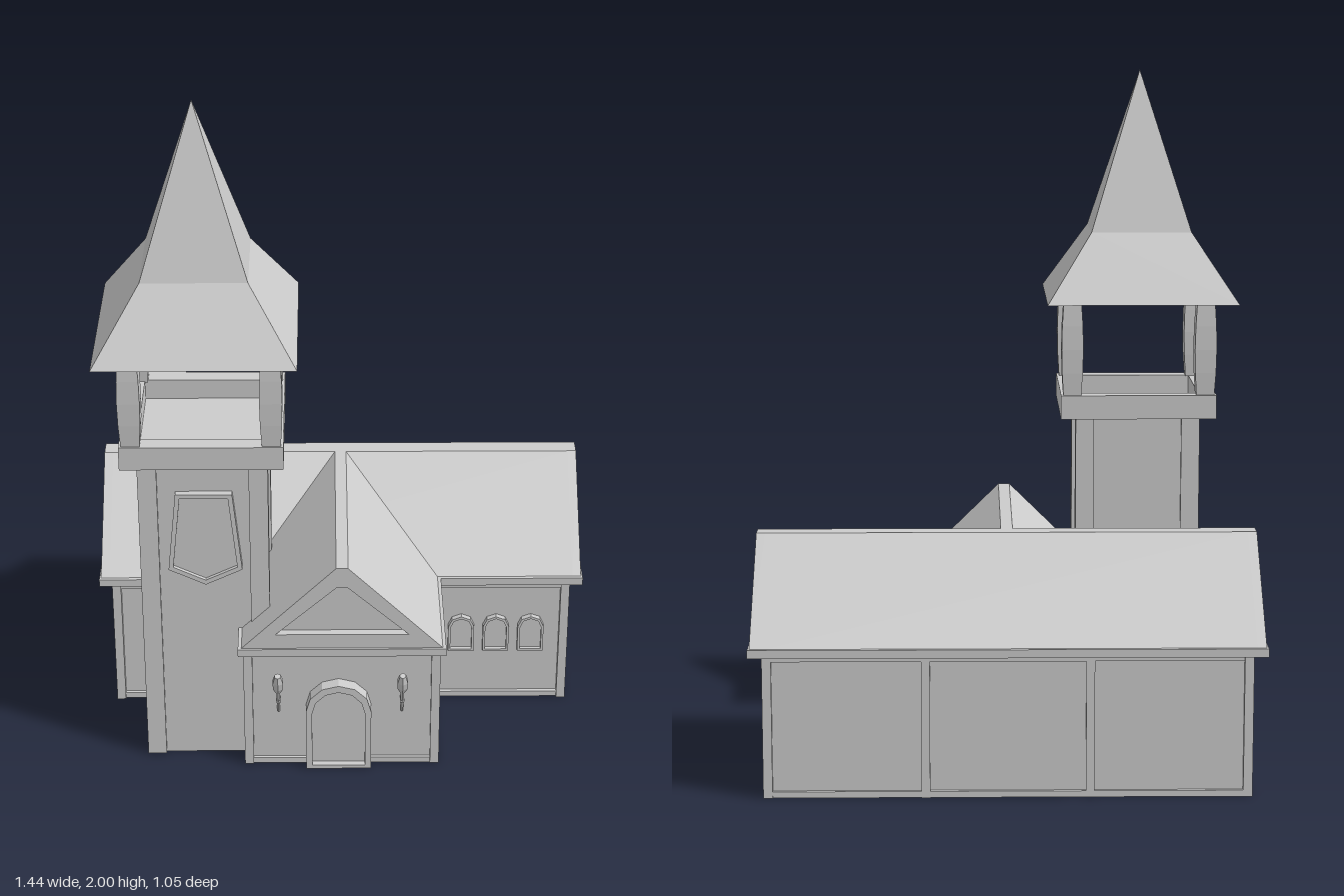
import * as THREE from 'three';

const mat = new THREE.MeshStandardMaterial({ color: 0xcccccc, flatShading: true, side: THREE.DoubleSide });

export function createModel() {
  const model = new THREE.Group();

  function add(name, geo, parent = model) {
    const m = new THREE.Mesh(geo, mat);
    m.name = name;
    parent.add(m);
    return m;
  }
  // box from its limits
  function box(name, x0, x1, y0, y1, z0, z1, parent) {
    const m = add(name, new THREE.BoxGeometry(x1 - x0, y1 - y0, z1 - z0), parent);
    m.position.set((x0 + x1) / 2, (y0 + y1) / 2, (z0 + z1) / 2);
    return m;
  }
  function outline(points) {
    return new THREE.Shape(points.map(([x, y]) => new THREE.Vector2(x, y)));
  }
  // flat plate, optionally with an opening, pushed out along z
  function plate(name, points, hole, depth, parent) {
    const s = outline(points);
    if (hole) s.holes.push(outline(hole));
    return add(name, new THREE.ExtrudeGeometry(s, { depth, bevelEnabled: false }), parent);
  }
  // raised frame around a slightly thinner infill
  function framed(name, outer, inner, x, y, z, depth, fill) {
    const g = new THREE.Group();
    g.name = name;
    plate(name + 'Frame', outer, inner, depth, g);
    plate(name + 'Infill', inner, null, fill, g);
    g.position.set(x, y, z);
    model.add(g);
  }
  // slanted brace in the plane x = const
  function brace(name, x, y0, z0, y1, z1) {
    const dy = y1 - y0, dz = z1 - z0;
    const m = add(name, new THREE.BoxGeometry(0.014, 0.024, Math.hypot(dy, dz)));
    m.position.set(x, (y0 + y1) / 2, (z0 + z1) / 2);
    m.rotation.x = -Math.atan2(dy, dz);
  }

  // thin wall panels, open below
  const H = 0.41, B = -0.485, F = 0.11, W = 0.45;
  box('backWall', -0.67, 0.67, 0, H, B, B + 0.01);
  for (const s of [-1, 1]) {
    box('endWall', s * 0.665 - 0.005, s * 0.665 + 0.005, 0, H, B, F);
    box('hallFrontWall', s > 0 ? 0.27 : -0.67, s > 0 ? 0.67 : -0.27, 0, H, F - 0.01, F);
    box('wingSideWall', s * 0.265 - 0.005, s * 0.265 + 0.005, 0, H, F - 0.01, W);
  }
  box('wingFrontWall', -0.27, 0.27, 0, H, W - 0.01, W);

  // corner posts, rails and braces
  for (const s of [-1, 1]) {
    const xo = s * 0.672, xw = s * 0.272;
    for (const z of [-0.484, 0.115]) box('hallPost', xo - 0.013, xo + 0.013, 0, H, z - 0.014, z + 0.014);
    box('wingPost', xw - 0.013, xw + 0.013, 0, H, 0.436, 0.464);
    box('wingRearPost', xw - 0.013, xw + 0.013, 0, H, 0.1, 0.128);
    box('backPost', s * 0.23 - 0.012, s * 0.23 + 0.012, 0, H, -0.497, -0.475);
    for (const y of [0, 0.392]) {
      box('endRail', xo - 0.008, xo + 0.008, y, y + 0.018, B, F);
      box('wingSideRail', xw - 0.008, xw + 0.008, y, y + 0.018, F, W);
      box('hallFrontRail', s > 0 ? 0.27 : -0.67, s > 0 ? 0.67 : -0.27, y, y + 0.018, F - 0.01, F + 0.012);
    }
    brace('endBrace', s * 0.673, 0.02, -0.475, 0.4, 0.1);
    brace('endBrace', s * 0.673, 0.4, -0.475, 0.02, 0.1);
    brace('wingBrace', s * 0.273, 0.4, 0.135, 0.02, 0.435);
  }
  for (const y of [0, 0.392]) {
    box('backRail', -0.67, 0.67, y, y + 0.018, -0.495, B + 0.005);
    box('wingFrontRail', -0.27, 0.27, y, y + 0.018, W - 0.005, 0.46);
  }

  // eave boards
  box('hallEave', -0.722, 0.722, 0.41, 0.434, -0.527, 0.137);
  box('wingEave', -0.298, 0.298, 0.41, 0.434, 0.1, 0.515);

  // roofs with flat ridges and sunken gables
  const gable = (half, flat) => [[-half, 0.43], [half, 0.43], [flat, 0.7], [-flat, 0.7]];
  const recess = [[-0.19, 0.48], [0.19, 0.48], [0.015, 0.637], [-0.015, 0.637]];
  function roof(name, half, flat, z0, z1, bothEnds) {
    const g = new THREE.Group(), t = 0.025, start = bothEnds ? z0 + t : z0;
    g.name = name;
    plate(name + 'Body', gable(half, flat), null, z1 - t - start, g).position.z = start;
    plate(name + 'Gable', gable(half, flat), recess, t, g).position.z = z1 - t;
    if (bothEnds) plate(name + 'Gable', gable(half, flat), recess, t, g).position.z = z0;
    model.add(g);
    return g;
  }
  const hallRoof = roof('hallRoof', 0.325, 0.028, -0.717, 0.717, true);
  hallRoof.rotation.y = Math.PI / 2;
  hallRoof.position.z = -0.195;
  roof('wingRoof', 0.292, 0.017, -0.168, 0.508, false);

  // arched door and windows
  function arch(w, h, rise, n) {
    const p = [[-w, 0], [w, 0]];
    for (let i = 0; i <= n; i++) {
      const a = Math.PI * i / n;
      p.push([w * Math.cos(a), h - rise + rise * Math.sin(a)]);
    }
    return p;
  }
  framed('door', arch(0.095, 0.29, 0.09, 6),
    arch(0.077, 0.268, 0.075, 6).map(([x, y]) => [x, Math.max(y, 0.012)]), -0.01, 0, W, 0.04, 0.02);
  for (const x of [0.363, 0.468, 0.573]) {
    framed('window', arch(0.039, 0.122, 0.036, 4),
      arch(0.032, 0.114, 0.031, 4).map(([u, v]) => [u, Math.max(v, 0.007)]), x, 0.17, F, 0.018, 0.006);
  }

  // wall torches leaning outward
  for (const s of [-1, 1]) {
    const torch = new THREE.Group();
    torch.name = 'torch';
    add('torchHandle', new THREE.CylinderGeometry(0.006, 0.004, 0.1, 6), torch).position.y = 0.05;
    const head = [[0, 0.09], [0.008, 0.09], [0.017, 0.115], [0.017, 0.14], [0.01, 0.165], [0, 0.165]];
    add('torchHead', new THREE.LatheGeometry(head.map(([x, y]) => new THREE.Vector2(x, y)), 6), torch);
    torch.position.set(s * 0.18 - 0.005, 0.18, 0.452);
    torch.rotation.x = 0.33;
    model.add(torch);
    box('torchBracket', s * 0.18 - 0.011, s * 0.18 + 0.001, 0.22, 0.232, 0.45, 0.472);
  }

  // bell tower: walls, corner posts and hollow parapet
  const tower = new THREE.Group();
  tower.name = 'tower';
  tower.position.set(-0.39, 0, 0.228);
  model.add(tower);
  for (const s of [-1, 1]) {
    box('towerSideWall', s * 0.167 - 0.005, s * 0.167 + 0.005, 0, 0.99, -0.172, 0.172, tower);
    box('towerWall', -0.172, 0.172, 0, 0.99, s * 0.167 - 0.005, s * 0.167 + 0.005, tower);
    box('parapetSide', s * 0.203 - 0.025, s * 0.203 + 0.025, 0.99, 1.06, -0.228, 0.228, tower);
    box('parapet', -0.178, 0.178, 0.99, 1.06, s * 0.203 - 0.025, s * 0.203 + 0.025, tower);
    for (const t of [-1, 1]) {
      const x = s * 0.156, z = t * 0.156;
      box('towerPost', x - 0.027, x + 0.027, 0, 0.99, z - 0.027, z + 0.027, tower);
      // belfry column swelling at mid height
      const geo = new THREE.BoxGeometry(0.052, 0.275, 0.052, 1, 4, 1);
      const p = geo.attributes.position;
      for (let i = 0; i < p.count; i++) {
        const k = 1 + 0.22 * (1 - (p.getY(i) / 0.1375) ** 2);
        p.setX(i, p.getX(i) * k);
        p.setZ(i, p.getZ(i) * k);
      }
      add('belfryColumn', geo, tower).position.set(s * 0.195, 1.195, t * 0.195);
    }
  }
  box('belfryFloor', -0.18, 0.18, 0.985, 1.0, -0.18, 0.18, tower);

  // shield plaque on the tower front
  framed('shieldPlaque', [[-0.08, 0.89], [-0.105, 0.645], [0, 0.595], [0.105, 0.645], [0.08, 0.89]],
    [[-0.068, 0.877], [-0.091, 0.653], [0, 0.61], [0.091, 0.653], [0.068, 0.877]],
    -0.388, 0, 0.398, 0.024, 0.012);

  // flared four-sided spire
  const spire = [[0, 1.33], [0.279, 1.33], [0.147, 1.53], [0, 2]]
    .map(([h, y]) => new THREE.Vector2(h * Math.SQRT2, y));
  add('spire', new THREE.LatheGeometry(spire, 4, Math.PI / 4)).position.set(-0.4, 0, 0.242);

  return model;
}
